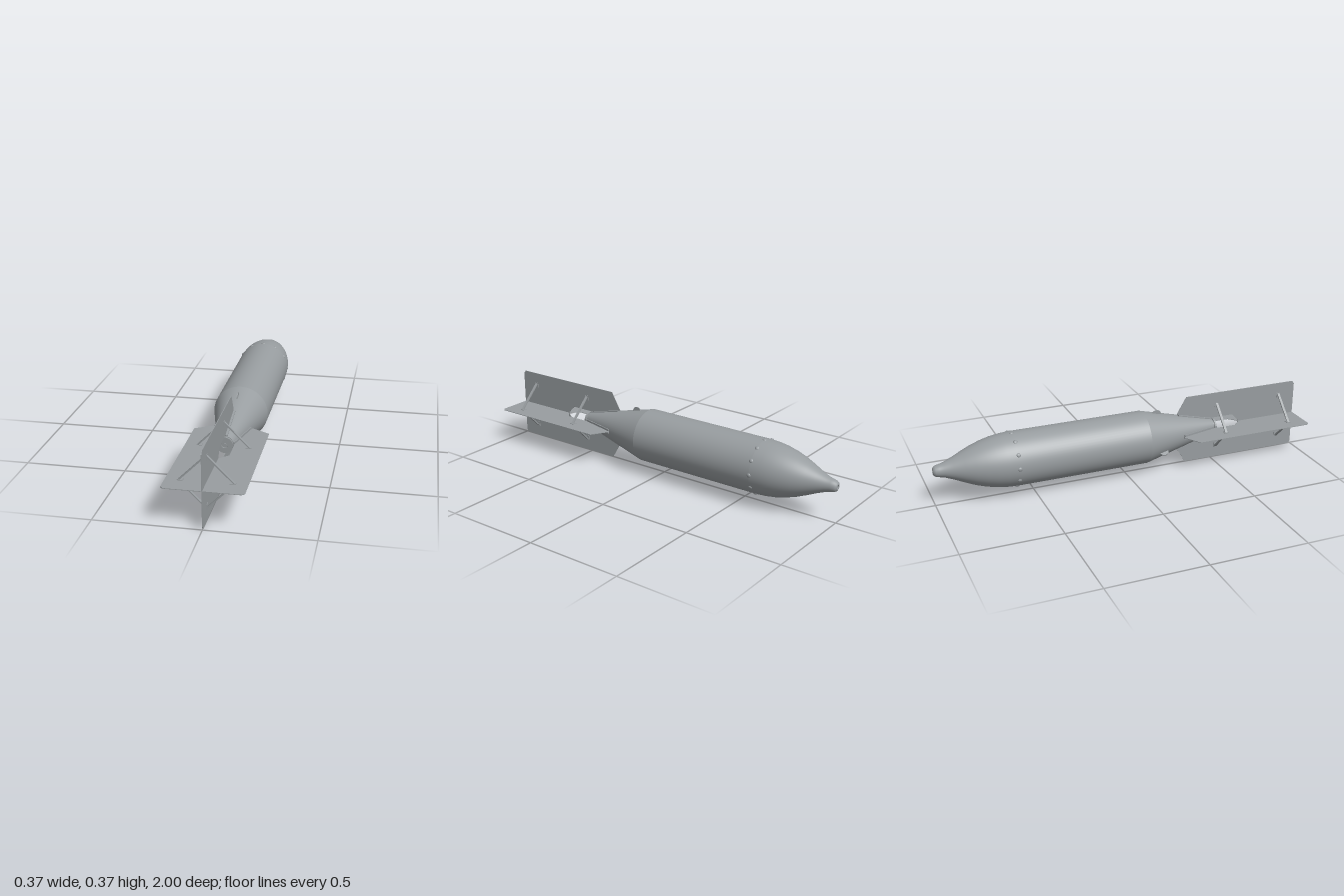
import * as THREE from 'three';
import { toCreasedNormals } from 'three/addons/utils/BufferGeometryUtils.js';

const AXIS_Y = 0.185; // height of the body's centre line
const R = 0.138; // body radius

export function createModel() {
  const model = new THREE.Group();
  model.name = 'finnedBomb';
  const grey = new THREE.MeshStandardMaterial({ color: 0x989da0 });
  grey.name = 'steelGrey';

  // Everything is built around the z axis, then raised
  const body = new THREE.Group();
  body.name = 'bomb';
  body.position.y = AXIS_Y;
  model.add(body);

  function add(parent, name, geometry) {
    const mesh = new THREE.Mesh(geometry, grey);
    mesh.name = name;
    parent.add(mesh);
    return mesh;
  }

  // Turned part from [radius, z] pairs, running from nose to tail
  function turned(name, profile, sharp = false) {
    const points = profile.map(([r, z]) => new THREE.Vector2(r, z));
    let geometry = new THREE.LatheGeometry(points, 64).rotateX(Math.PI / 2);
    if (sharp) geometry = toCreasedNormals(geometry, 0.5);
    return add(body, name, geometry);
  }

  // Casing
  turned('noseTip', [[0, -0.994], [0.01, -0.994], [0.01, -1], [0.014, -1]], true);
  turned('nose', [
    [0.014, -1], [0.022, -0.996], [0.028, -0.987], [0.032, -0.97], [0.038, -0.945],
    [0.056, -0.9], [0.079, -0.85], [0.1, -0.8], [0.116, -0.75], [0.128, -0.7],
    [0.135, -0.65], [R, -0.6],
  ]);
  turned('midBody', [[R, -0.6], [R, 0.1]]);
  turned('tailCone', [[R, 0.1], [0.04, 0.5]]);
  turned('tailPlug', [
    [0.04, 0.5], [0.034, 0.5], [0.034, 0.506], [0.04, 0.506], [0.04, 0.516],
    [0.015, 0.516], [0.015, 0.51], [0.009, 0.51], [0.009, 0.514], [0, 0.514],
  ], true);

  // Ring of flattened screw heads at the nose joint
  for (let i = 0; i < 12; i++) {
    const a = (i * Math.PI) / 6;
    const screw = add(body, 'noseScrew', new THREE.SphereGeometry(0.011, 14, 10));
    screw.scale.x = 0.6;
    screw.position.set(Math.cos(a) * 0.136, Math.sin(a) * 0.136, -0.6);
    screw.rotation.z = a;
  }

  // Two thin lugs standing on the tail cone
  for (const degrees of [90, 210]) {
    const lug = new THREE.Group();
    lug.name = 'coneLug';
    lug.rotation.z = THREE.MathUtils.degToRad(degrees);
    body.add(lug);
    const plate = add(lug, 'lugPlate', new THREE.CylinderGeometry(0.026, 0.026, 0.005, 24));
    plate.position.set(0.112, 0, 0.18);
  }

  // One fin outline as (radius, z); the inner edge leaves an opening behind the plug
  const outline = [
    [0.086, 0.3], [0.039, 0.5], [0.045, 0.5], [0.045, 0.625], [0.008, 0.66], [0, 0.66],
    [0, 1], [0.172, 1], [0.185, 0.988], [0.185, 0.35], [0.1, 0.3],
  ].map(([r, z]) => new THREE.Vector2(r, z));
  const finGeometry = new THREE.ExtrudeGeometry(new THREE.Shape(outline), {
    depth: 0.003, bevelEnabled: false,
  }).translate(0, 0, -0.0015).rotateX(Math.PI / 2);

  // Four fins, each with its root bracket, brace tabs and braces to the next fin
  for (let i = 0; i < 4; i++) {
    const quarter = new THREE.Group();
    quarter.name = 'finQuarter';
    quarter.rotation.z = (i * Math.PI) / 2;
    body.add(quarter);
    add(quarter, 'fin', finGeometry);

    const bracket = add(quarter, 'rootBracket', new THREE.BoxGeometry(0.005, 0.023, 0.2));
    bracket.position.set(0.066, 0, 0.402);
    bracket.rotation.y = -Math.atan2(0.098, 0.4);

    for (const z of [0.53, 0.905]) {
      const tab = add(quarter, 'braceTab', new THREE.BoxGeometry(0.026, 0.008, 0.022));
      tab.position.set(0.117, 0, z);
      const brace = add(quarter, 'finBrace', new THREE.BoxGeometry(0.175, 0.006, 0.013));
      brace.position.set(0.063, 0.063, z);
      brace.rotation.z = -Math.PI / 4;
    }
  }
  return model;
}
